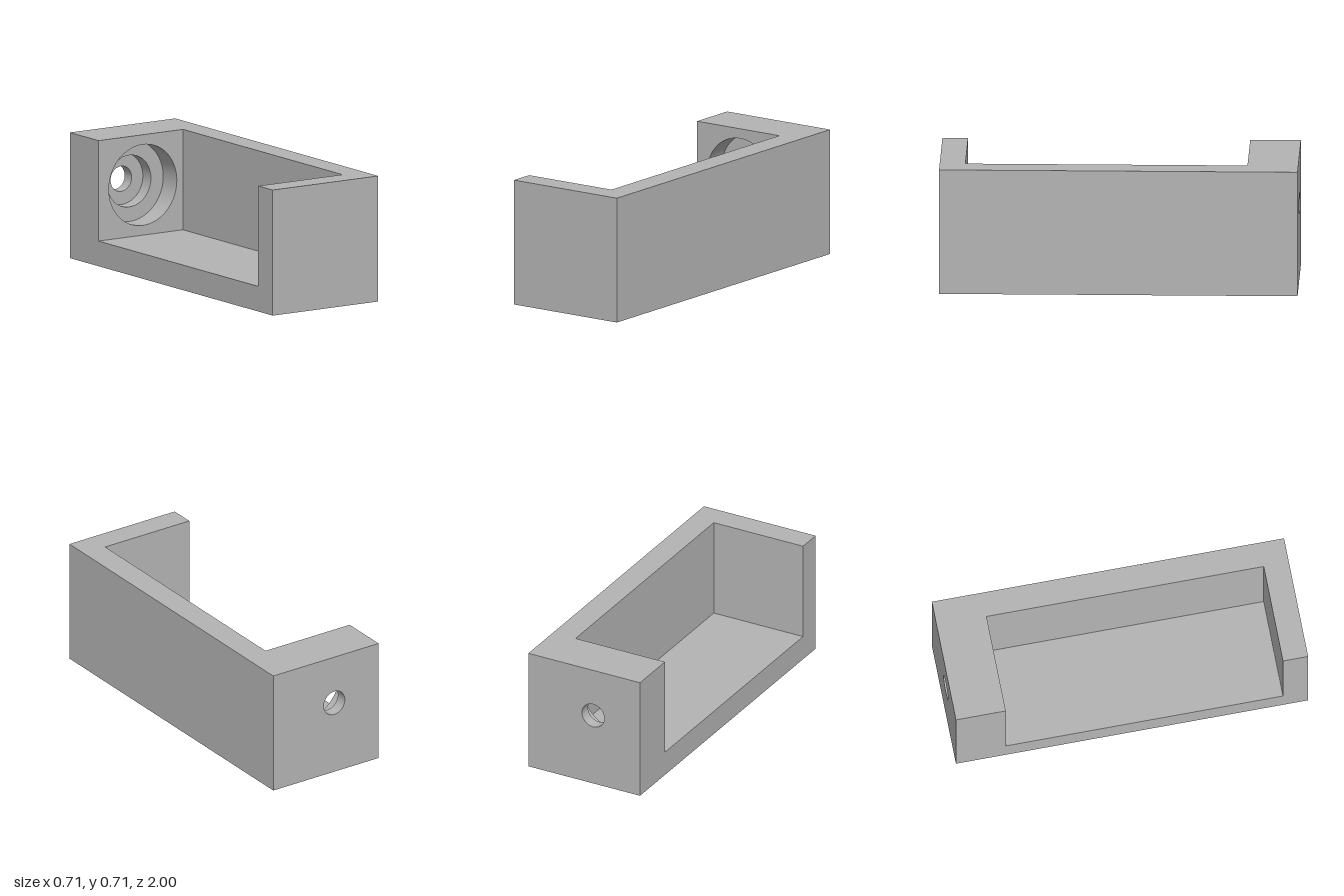
import * as THREE from 'three';
import { toCreasedNormals } from 'three/addons/utils/BufferGeometryUtils.js';

const H = 0.714;            // height and width of the block
const X = H / 2;            // half width
const T = 0.143;            // thickness of floor, side wall and front wall
const BACK_IN = -0.717;     // inner face of the thick back wall
const BORE = { x: -0.057, y: 0.4286 };

export function createModel() {
  const group = new THREE.Group();
  const grey = new THREE.MeshStandardMaterial({ color: 0xb4b4b4 });
  grey.name = 'light grey';

  // Extrude a shape in x-y between two z positions
  const slab = (name, shape, z0, z1) => {
    const geo = new THREE.ExtrudeGeometry(shape, { depth: z1 - z0, bevelEnabled: false, curveSegments: 32 });
    geo.translate(0, 0, z0);
    const mesh = new THREE.Mesh(toCreasedNormals(geo, Math.PI / 6), grey);
    mesh.name = name;
    group.add(mesh);
  };
  const outline = (points) => new THREE.Shape(points.map(([x, y]) => new THREE.Vector2(x, y)));
  const square = () => outline([[-X, 0], [X, 0], [X, H], [-X, H]]);

  // Floor and side wall in one L section, open on top and on the -x side
  slab('floorAndSideWall', outline([[-X, 0], [X, 0], [X, H], [X - T, H], [X - T, T], [-X, T]]), BACK_IN, 1 - T);

  // Plain front wall
  slab('frontWall', square(), 1 - T, 1);

  // Back wall in three layers, with a bore that narrows in steps toward the outside
  const steps = [
    ['backWallWideRecess', 0.23, BACK_IN - 0.134, BACK_IN],
    ['backWallMiddleRecess', 0.147, BACK_IN - 0.214, BACK_IN - 0.134],
    ['backWallThroughHole', 0.0715, -1, BACK_IN - 0.214],
  ];
  for (const [name, radius, z0, z1] of steps) {
    const shape = square();
    shape.holes.push(new THREE.Path().absarc(BORE.x, BORE.y, radius, 0, Math.PI * 2, true));
    slab(name, shape, z0, z1);
  }

  return group;
}
